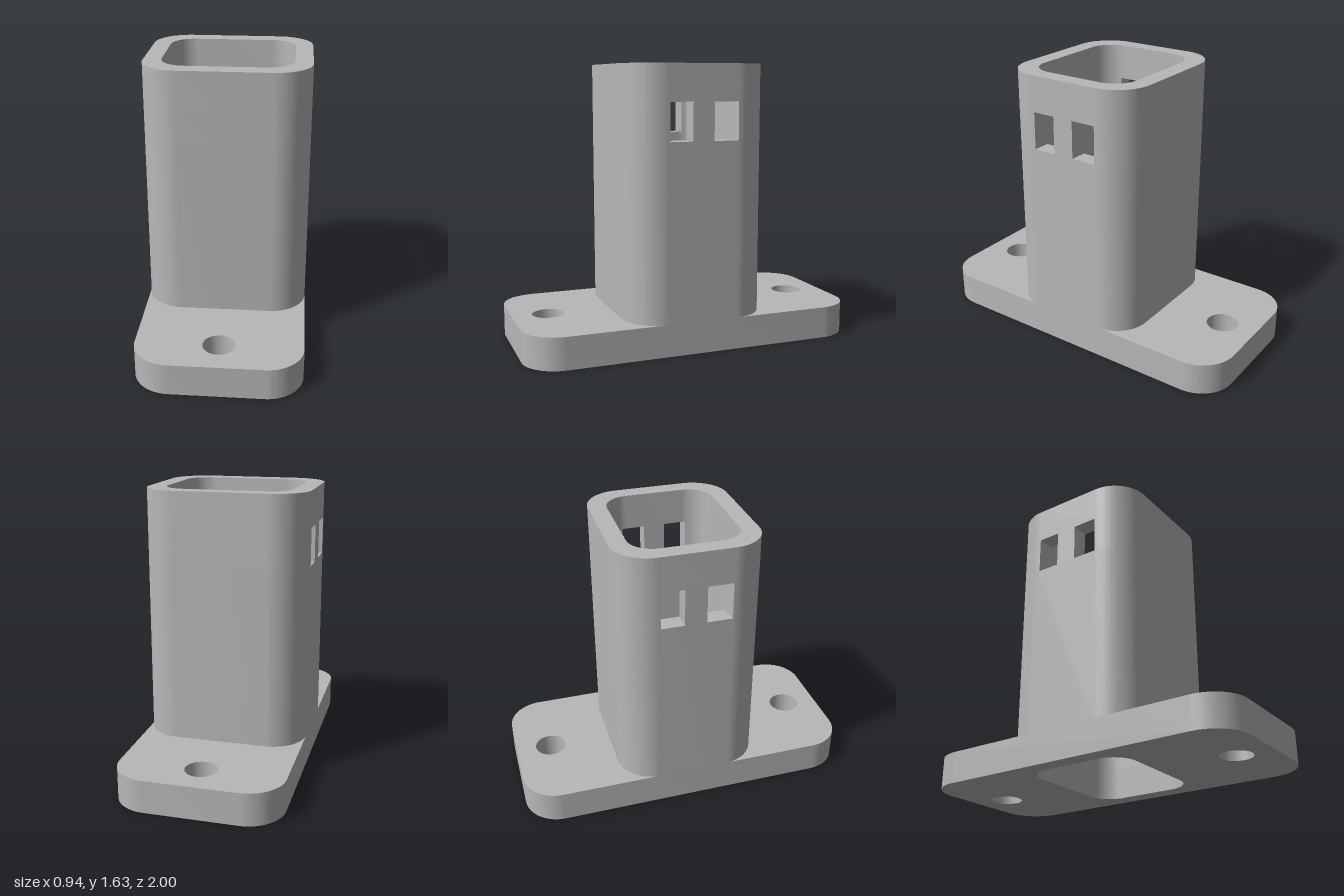
import * as THREE from 'three';
import { toCreasedNormals } from 'three/addons/utils/BufferGeometryUtils.js';

const OUT = { w: 0.472, d: 0.42, r: 0.21 };   // tower outside (half sizes, corner radius)
const CAV = { w: 0.37, d: 0.316, r: 0.143 };  // cavity
const BASE_H = 0.187, TOP = 1.635;
const WIN = { y0: 1.21, y1: 1.427, near: 0.063, far: 0.198 };

function roundedRect(target, { w, d, r }) {
  target.absarc(w - r, d - r, r, 0, Math.PI / 2);
  target.absarc(-w + r, d - r, r, Math.PI / 2, Math.PI);
  target.absarc(-w + r, -d + r, r, Math.PI, Math.PI * 1.5);
  target.absarc(w - r, -d + r, r, Math.PI * 1.5, Math.PI * 2);
  target.closePath();
  return target;
}

// Extrudes a plan outline upwards from y0 to y1
function prism(shape, y0, y1) {
  const geo = new THREE.ExtrudeGeometry(shape, { depth: y1 - y0, bevelEnabled: false, curveSegments: 20 });
  geo.rotateX(-Math.PI / 2).translate(0, y0, 0);
  return toCreasedNormals(geo, 0.5);
}

function ringShape() {
  const shape = roundedRect(new THREE.Shape(), OUT);
  shape.holes.push(roundedRect(new THREE.Path(), CAV));
  return shape;
}

// End wall with both rounded corners, cut off at the outer window jambs
function endWallShape() {
  const s = WIN.far, { w, d, r } = CAV;
  const a = Math.asin((s - (d - r)) / r);
  const shape = new THREE.Shape();
  shape.moveTo(OUT.w, s);
  shape.absarc(OUT.w - OUT.r, OUT.d - OUT.r, OUT.r, 0, Math.PI / 2);
  shape.absarc(-OUT.w + OUT.r, OUT.d - OUT.r, OUT.r, Math.PI / 2, Math.PI);
  shape.lineTo(-OUT.w, s);
  shape.absarc(-w + r, d - r, r, Math.PI - a, Math.PI / 2, true);
  shape.absarc(w - r, d - r, r, Math.PI / 2, a, true);
  shape.closePath();
  return shape;
}

export function createModel() {
  const model = new THREE.Group();
  model.name = 'socketMount';
  const grey = new THREE.MeshStandardMaterial({ color: 0xb8b8b8 });
  grey.name = 'plainGrey';
  const add = (name, geo, parent) => {
    const mesh = new THREE.Mesh(geo, grey);
    mesh.name = name;
    parent.add(mesh);
    return mesh;
  };

  // Base flange with the cavity and two bolt holes
  const plate = roundedRect(new THREE.Shape(), { w: OUT.w, d: 1, r: 0.21 });
  plate.holes.push(roundedRect(new THREE.Path(), CAV));
  for (const z of [-0.79, 0.79]) {
    plate.holes.push(new THREE.Path().absarc(0, z, 0.092, 0, Math.PI * 2));
  }
  add('baseFlange', prism(plate, 0, BASE_H), model);

  // Hollow tower below and above the window band
  const tower = new THREE.Group();
  tower.name = 'tower';
  model.add(tower);
  add('lowerTube', prism(ringShape(), BASE_H, WIN.y0), tower);
  add('upperTube', prism(ringShape(), WIN.y1, TOP), tower);

  // Window band: end walls, and a mullion between the two windows of each side
  const endWall = prism(endWallShape(), WIN.y0, WIN.y1);
  add('backEndWall', endWall, tower);
  add('frontEndWall', endWall, tower).rotation.y = Math.PI;
  const mullion = new THREE.BoxGeometry(OUT.w - CAV.w, WIN.y1 - WIN.y0, WIN.near * 2);
  for (const [name, side] of [['leftMullion', 1], ['rightMullion', -1]]) {
    add(name, mullion, tower).position.set(side * (OUT.w + CAV.w) / 2, (WIN.y0 + WIN.y1) / 2, 0);
  }
  return model;
}
